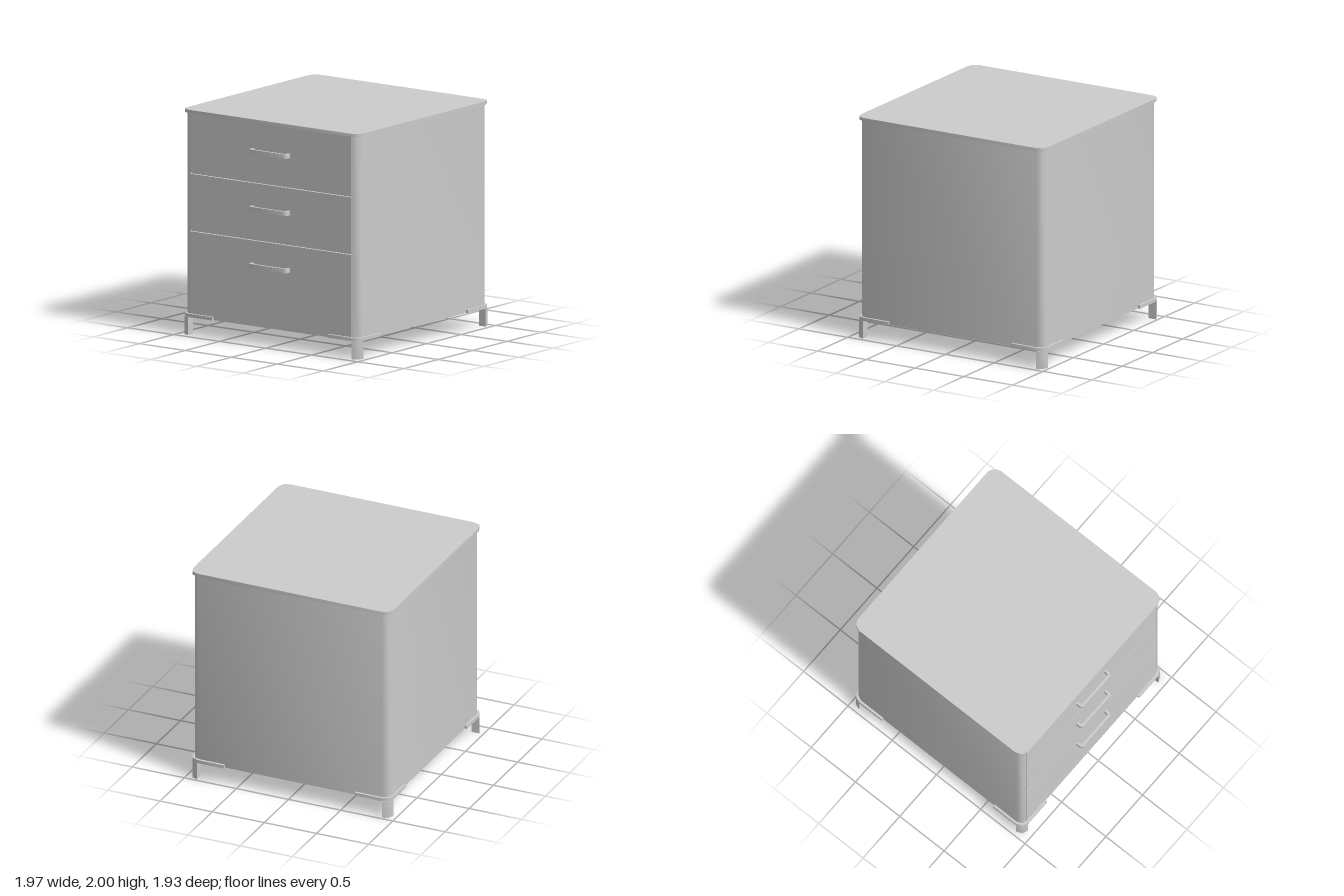
import * as THREE from 'three';
import { toCreasedNormals } from 'three/addons/utils/BufferGeometryUtils.js';

const CX = 0.02;                       // cabinet centre, handles overhang on -x
const LID = { x: 0.962, z: 0.963, r: 0.08 };
const BODY = { x: 0.94, z: 0.942, r: 0.063 };
const BASE_Y = 0.16, LID_Y = 1.97;

const material = new THREE.MeshStandardMaterial({ color: 0xcccccc });

// Plan outline (x, z) raised from y0 to y1
function slab(name, points, y0, y1) {
  const shape = new THREE.Shape(points.map(([x, z]) => new THREE.Vector2(x, -z)));
  const geo = new THREE.ExtrudeGeometry(shape, { depth: y1 - y0, bevelEnabled: false });
  geo.rotateX(-Math.PI / 2);
  geo.translate(0, y0, 0);
  const mesh = new THREE.Mesh(toCreasedNormals(geo, Math.PI / 3), material);
  mesh.name = name;
  return mesh;
}

// Two-segment rounded corner in the quadrant (sx, sz), from the x side to the z side
function corner({ x, z, r }, sx, sz) {
  return [0, 1, 2].map(i => {
    const a = i * Math.PI / 4;
    return [CX + sx * (x - r + r * Math.cos(a)), sz * (z - r + r * Math.sin(a))];
  });
}

function roundedOutline(size) {
  return [
    ...corner(size, 1, 1),
    ...corner(size, -1, 1).reverse(),
    ...corner(size, -1, -1),
    ...corner(size, 1, -1).reverse(),
  ];
}

export function createModel() {
  const model = new THREE.Group();
  model.name = 'drawerCabinet';

  // Top panel
  model.add(slab('topPanel', roundedOutline(LID), LID_Y, 2));

  // Carcass with a shallow recess for the drawer fronts
  const faceX = CX - BODY.x, recess = 0.025, openZ = BODY.z - BODY.r;
  const outline = roundedOutline(BODY);
  outline.splice(6, 0, [faceX + recess, openZ], [faceX + recess, -openZ]);
  model.add(slab('carcass', outline, BASE_Y, LID_Y));

  // Drawer fronts and their handles
  const gap = 0.006;
  const splits = [BASE_Y, 0.925, 1.435, LID_Y];
  const handleY = [0.703, 1.211, 1.719];
  const outer = -0.985, t = 0.022, hz = 0.203, c = 0.025, k = 0.012;
  const half = [
    [faceX + 0.004, hz], [outer + c, hz], [outer + 0.007, hz - 0.007], [outer, hz - c],
  ];
  const inner = [
    [outer + t, hz - t - k], [outer + t + k, hz - t], [faceX + 0.004, hz - t],
  ];
  const flip = pts => pts.map(([x, z]) => [x, -z]).reverse();
  const handleOutline = [...half, ...flip(half), ...flip(inner), ...inner];

  for (let i = 0; i < 3; i++) {
    const drawer = new THREE.Group();
    drawer.name = 'drawer' + (i + 1);
    const y0 = splits[i] + (i > 0 ? gap : 0);
    const y1 = splits[i + 1] - (i < 2 ? gap : 0);
    const z = openZ - 0.004;
    drawer.add(slab('drawerFront',
      [[faceX, z], [faceX, -z], [faceX + recess, -z], [faceX + recess, z]], y0, y1));
    drawer.add(slab('handle', handleOutline, handleY[i] - 0.02, handleY[i] + 0.02));
    model.add(drawer);
  }

  // Corner feet: a post below an angled bracket that wraps the carcass
  const post = 0.075, reach = 0.335;
  for (const sx of [1, -1]) {
    for (const sz of [1, -1]) {
      const foot = new THREE.Group();
      foot.name = (sz > 0 ? 'front' : 'back') + (sx > 0 ? 'Left' : 'Right') + 'Foot';
      const X = d => CX + sx * (LID.x - d);
      const Z = d => sz * (LID.z - d);
      const arc = corner(LID, sx, sz);
      const postArc = corner({ ...LID, r: post }, sx, sz);
      foot.add(slab('post', [...postArc, [X(post), Z(post)]], 0, BASE_Y));
      foot.add(slab('bracket', [
        [X(0), Z(reach)], ...arc, [X(reach), Z(0)],
        [X(reach), sz * BODY.z], ...corner(BODY, sx, sz).reverse(), [CX + sx * BODY.x, Z(reach)],
      ], BASE_Y, 0.19));
      model.add(foot);
    }
  }

  return model;
}
